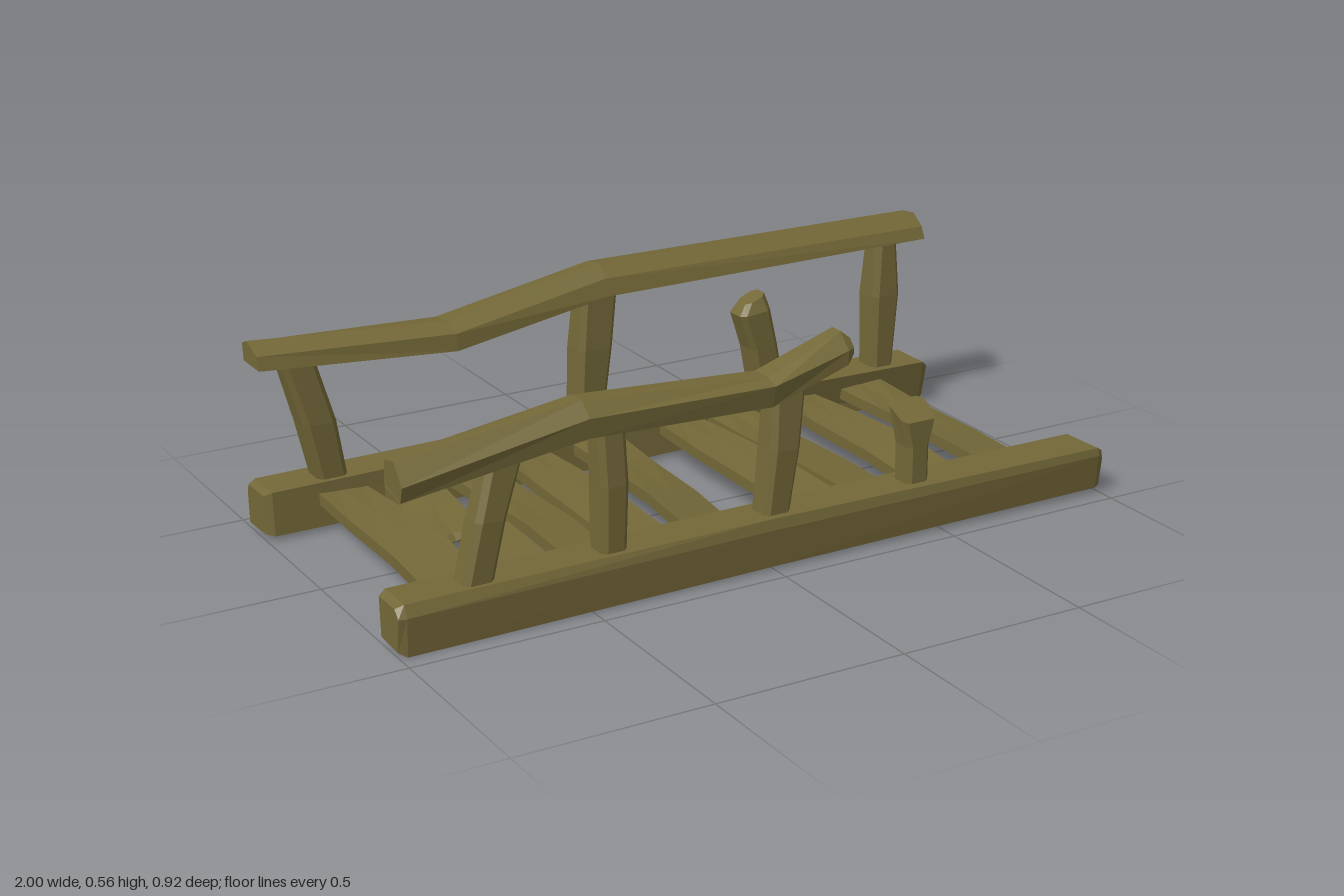
import * as THREE from 'three';

const wood = new THREE.MeshStandardMaterial({ color: 0x736838, flatShading: true, roughness: 0.9 });

// Closed solid through rings of [x, y, z] points, with capped ends.
function loft(name, rings) {
  const n = rings[0].length, v = rings.flat().map(p => new THREE.Vector3(...p)), tris = [];
  const quadStrip = i => {
    for (let j = 0; j < n; j++) {
      const a = i * n + j, b = i * n + (j + 1) % n;
      tris.push([a, b, b + n], [a, b + n, a + n]);
    }
  };
  for (let i = 0; i < rings.length - 1; i++) quadStrip(i);
  const cap = (start, flip) => {
    const c = new THREE.Vector3();
    for (let j = 0; j < n; j++) c.addScaledVector(v[start + j], 1 / n);
    const k = v.push(c) - 1;
    for (let j = 0; j < n; j++) {
      const a = start + j, b = start + (j + 1) % n;
      tris.push(flip ? [k, b, a] : [k, a, b]);
    }
  };
  cap(0, true);
  cap((rings.length - 1) * n, false);
  // Turn the faces outward whichever way the rings run
  let volume = 0;
  for (const [a, b, c] of tris) volume += v[a].dot(v[b].clone().cross(v[c]));
  const pos = tris.flatMap(([a, b, c]) => (volume > 0 ? [a, b, c] : [a, c, b]))
    .flatMap(i => v[i].toArray());
  const geo = new THREE.BufferGeometry();
  geo.setAttribute('position', new THREE.Float32BufferAttribute(pos, 3));
  geo.computeVertexNormals();
  const mesh = new THREE.Mesh(geo, wood);
  mesh.name = name;
  return mesh;
}

// Timber running along x: sections of [x, [[z, y], ...]]
const alongX = (name, sections) =>
  loft(name, sections.map(([x, pts]) => pts.map(([z, y]) => [x, y, z])));

// Upright with chamfered corners: sections of [y, x0, x1, z0, z1, riseX, riseZ]
function post(name, sections) {
  return loft(name, sections.map(([y, x0, x1, z0, z1, rx = 0, rz = 0]) => {
    const c = 0.014, mx = (x0 + x1) / 2, mz = (z0 + z1) / 2;
    return [[x0 + c, z0], [x1 - c, z0], [x1, z0 + c], [x1, z1 - c],
      [x1 - c, z1], [x0 + c, z1], [x0, z1 - c], [x0, z0 + c]]
      .map(([x, z]) => [x, y + rx * (x - mx) / (x1 - x0) + rz * (z - mz) / (z1 - z0), z]);
  }));
}

// Floor board: sections of [z, centre x, centre y, width, tilt, zMiddle, zRight]
function board(name, sections, t = 0.015) {
  return loft(name, sections.map(([z, x, y, w, tilt = 0, zm = z, zr = z]) => {
    const l = x - w / 2, r = x + w / 2;
    return [[l, y - tilt - t, z], [x, y - t, zm], [r, y + tilt - t, zr],
      [r, y + tilt + t, zr], [x, y + t, zm], [l, y - tilt + t, z]];
  }));
}

export function createModel() {
  const model = new THREE.Group();
  model.name = 'brokenFootbridge';

  // Long ground beams
  model.add(
    alongX('frontBeam', [
      [-1, [[0.44, 0.015], [0.45, 0.1], [0.43, 0.12], [0.345, 0.12], [0.35, 0.02]]],
      [-0.98, [[0.45, 0.003], [0.455, 0.1], [0.44, 0.13], [0.335, 0.13], [0.345, 0.005]]],
      [0, [[0.45, 0.012], [0.457, 0.11], [0.45, 0.138], [0.34, 0.138], [0.345, 0.012]]],
      [0.985, [[0.45, 0.018], [0.46, 0.11], [0.455, 0.13], [0.325, 0.127], [0.35, 0.018]]],
      [1, [[0.445, 0.022], [0.455, 0.1], [0.45, 0.12], [0.335, 0.115], [0.355, 0.022]]],
    ]),
    alongX('backBeam', [
      [-1, [[-0.45, 0.015], [-0.455, 0.1], [-0.445, 0.12], [-0.35, 0.12], [-0.345, 0.02]]],
      [-0.98, [[-0.45, 0.003], [-0.46, 0.1], [-0.455, 0.128], [-0.34, 0.128], [-0.33, 0.015]]],
      [0, [[-0.45, 0.012], [-0.455, 0.11], [-0.45, 0.14], [-0.34, 0.14], [-0.335, 0.014]]],
      [0.985, [[-0.445, 0.018], [-0.46, 0.11], [-0.455, 0.13], [-0.33, 0.13], [-0.35, 0.016]]],
      [1, [[-0.44, 0.022], [-0.455, 0.1], [-0.45, 0.12], [-0.335, 0.115], [-0.355, 0.022]]],
    ]));

  // Crooked handrails, the front one snapped short
  model.add(
    alongX('frontRail', [
      [-0.975, [[0.43, 0.37], [0.44, 0.41], [0.40, 0.46], [0.35, 0.45], [0.345, 0.39]]],
      [-0.5, [[0.435, 0.435], [0.44, 0.485], [0.4, 0.52], [0.345, 0.515], [0.335, 0.44]]],
      [0, [[0.435, 0.42], [0.445, 0.475], [0.41, 0.487], [0.35, 0.487], [0.33, 0.43]]],
      [0.22, [[0.425, 0.485], [0.425, 0.52], [0.385, 0.56], [0.35, 0.56], [0.335, 0.49]]],
      [0.245, [[0.41, 0.505], [0.41, 0.52], [0.39, 0.54], [0.36, 0.54], [0.345, 0.51]]],
    ]),
    alongX('backRail', [
      [-0.99, [[-0.455, 0.445], [-0.46, 0.49], [-0.43, 0.503], [-0.365, 0.48], [-0.355, 0.445]]],
      [-0.47, [[-0.435, 0.42], [-0.445, 0.475], [-0.37, 0.485], [-0.32, 0.465], [-0.315, 0.42]]],
      [-0.02, [[-0.45, 0.49], [-0.46, 0.55], [-0.395, 0.562], [-0.355, 0.53], [-0.34, 0.485]]],
      [0.98, [[-0.435, 0.495], [-0.445, 0.548], [-0.39, 0.555], [-0.35, 0.525], [-0.335, 0.493]]],
    ]));

  // Posts carrying the rails
  const posts = {
    frontPost: [
      [[0.1, -0.83, -0.75, 0.355, 0.43], [0.28, -0.79, -0.71, 0.355, 0.435], [0.42, -0.75, -0.66, 0.36, 0.425]],
      [[0.1, -0.465, -0.395, 0.355, 0.43], [0.3, -0.465, -0.39, 0.35, 0.435], [0.47, -0.47, -0.395, 0.355, 0.425]],
      [[0.1, -0.02, 0.055, 0.355, 0.43], [0.3, 0.0, 0.085, 0.35, 0.435], [0.46, 0.01, 0.105, 0.355, 0.425]],
    ],
    backPost: [
      [[0.1, -0.84, -0.76, -0.435, -0.355], [0.28, -0.88, -0.79, -0.44, -0.35], [0.46, -0.93, -0.84, -0.435, -0.36]],
      [[0.1, -0.11, -0.03, -0.435, -0.355], [0.34, -0.1, 0.0, -0.44, -0.35], [0.51, -0.085, 0.02, -0.43, -0.355]],
      [[0.1, 0.83, 0.9, -0.435, -0.355], [0.34, 0.828, 0.915, -0.44, -0.348], [0.51, 0.84, 0.905, -0.43, -0.355]],
    ],
    frontBrokenPost: [
      [[0.1, 0.405, 0.475, 0.355, 0.425], [0.23, 0.405, 0.475, 0.355, 0.425], [0.315, 0.39, 0.495, 0.345, 0.425, 0, -0.035]],
    ],
    backBrokenPost: [
      [[0.1, 0.46, 0.55, -0.435, -0.36], [0.25, 0.435, 0.52, -0.44, -0.355],
        [0.355, 0.40, 0.495, -0.435, -0.355, 0.01], [0.39, 0.425, 0.485, -0.43, -0.37, 0.025]],
    ],
  };
  for (const [name, list] of Object.entries(posts)) for (const p of list) model.add(post(name, p));

  // Whole floor boards: x at back, middle, front; mid width; height; twist
  const boards = [
    [-0.79, -0.785, -0.8, 0.145, 0.088, 0.008],
    [-0.455, -0.435, -0.45, 0.135, 0.08, -0.008],
    [-0.28, -0.29, -0.29, 0.14, 0.09, 0.006],
    [-0.065, -0.085, -0.115, 0.145, 0.083, -0.013],
    [0.195, 0.2, 0.2, 0.14, 0.085, 0.008],
    [0.345, 0.365, 0.36, 0.14, 0.078, -0.007],
    [0.565, 0.57, 0.555, 0.135, 0.088, 0.008],
    [0.78, 0.785, 0.775, 0.145, 0.08, -0.01],
  ];
  for (const [back, mid, front, w, y, tilt] of boards) {
    model.add(board('floorBoard', [
      [-0.37, back, 0.084, w - 0.015, -tilt / 2],
      [-0.15, (back + mid) / 2, y, w - 0.005, tilt / 2],
      [0.1, mid, y + 0.004, w, tilt],
      [0.37, front, 0.085, w - 0.005, tilt],
    ]));
  }

  // Snapped board: sagging back half and short front stub
  model.add(
    board('brokenBoardBack', [
      [-0.37, -0.61, 0.083, 0.13, 0.004],
      [-0.17, -0.62, 0.062, 0.135, 0.006],
      [0.01, -0.63, 0.042, 0.16, 0.004, -0.045, -0.02],
    ], 0.013),
    board('brokenBoardFront', [
      [0.37, -0.62, 0.082, 0.145, 0.004],
      [0.25, -0.615, 0.09, 0.145, 0.005],
      [0.185, -0.615, 0.095, 0.145, 0.006, 0.105, 0.09],
    ]));
  return model;
}
